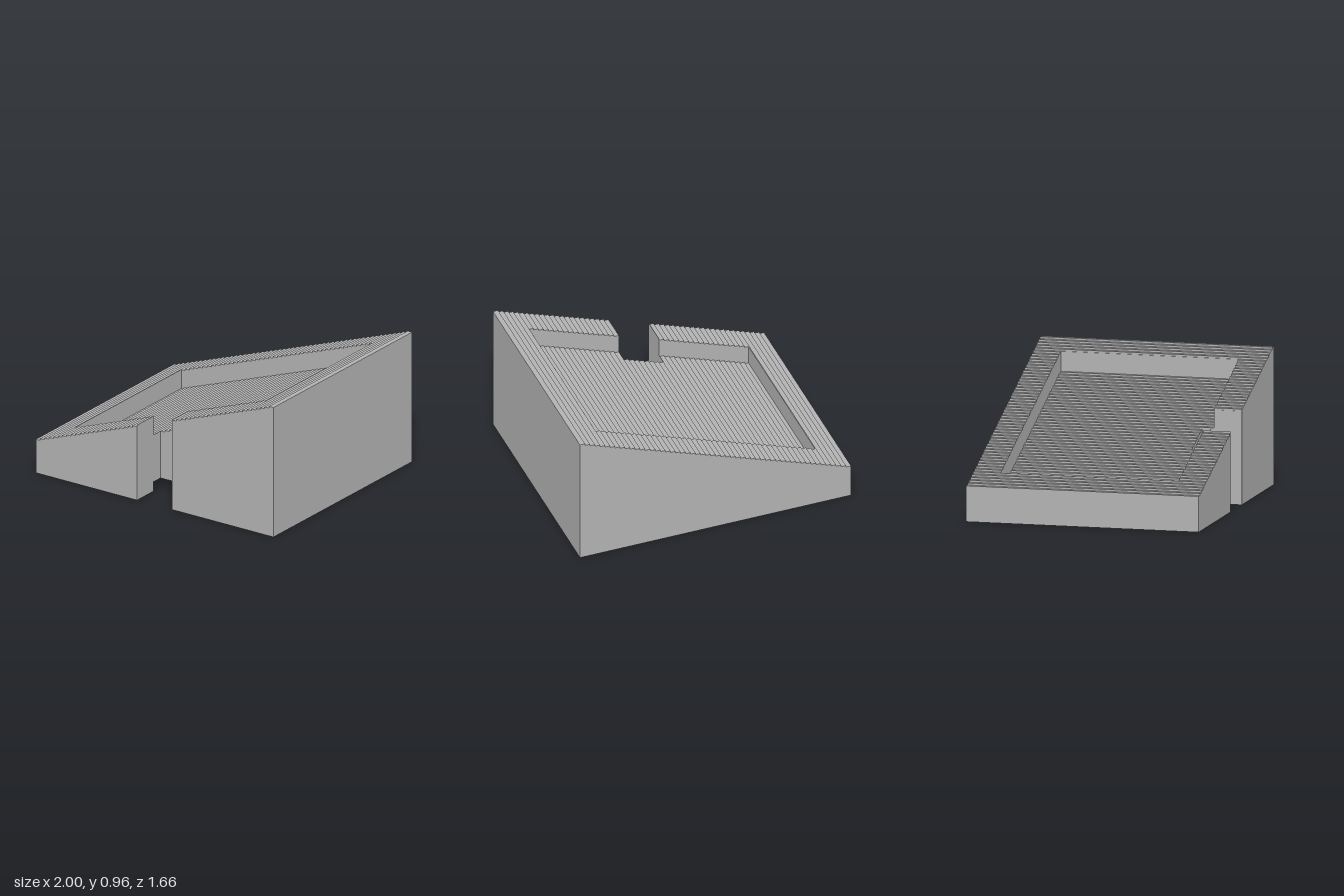
import * as THREE from 'three';

const STEPS = 54, LOW = 0.25, HIGH = 0.965;      // stepped slope rising toward +x
const HALF_X = 1, HALF_Z = 0.828;
const TRAY = { x: 0.808, z0: -0.636, z1: 0.63, top: 0.14, under: 0.07 };
const NOTCH = { x0: -0.148, x1: 0.146, z0: 0.547 };

// Vertical extent of the solid at a point, or null where it is empty
function column(x, z) {
  if (Math.abs(x) > HALF_X || Math.abs(z) > HALF_Z) return null;
  if (x > NOTCH.x0 && x < NOTCH.x1 && z > NOTCH.z0) return null;
  const step = Math.floor((x + HALF_X) / (2 * HALF_X) * STEPS);
  const top = LOW + (HIGH - LOW) * step / (STEPS - 1);
  const inTray = Math.abs(x) < TRAY.x && z > TRAY.z0 && z < TRAY.z1;
  return inTray
    ? { part: 'trayFloor', bottom: TRAY.under, top: top - TRAY.top }
    : { part: 'wedgeFrame', bottom: 0, top };
}

export function createModel() {
  const group = new THREE.Group();
  group.name = 'steppedWedgeStand';
  const grey = new THREE.MeshStandardMaterial({ color: 0xb2b2b2 });
  grey.name = 'grey';

  // Cell borders: every step edge plus the tray and notch edges
  const xs = Array.from({ length: STEPS + 1 }, (_, i) => -HALF_X + 2 * HALF_X * i / STEPS);
  xs.push(-TRAY.x, TRAY.x, NOTCH.x0, NOTCH.x1);
  xs.sort((a, b) => a - b);
  const zs = [-HALF_Z, TRAY.z0, NOTCH.z0, TRAY.z1, HALF_Z];

  const parts = { wedgeFrame: [], trayFloor: [] };
  const quad = (out, a, b, c, d) => out.push(...a, ...b, ...c, ...a, ...c, ...d);

  for (let i = 0; i < xs.length - 1; i++) {
    for (let j = 0; j < zs.length - 1; j++) {
      const [x0, x1, z0, z1] = [xs[i], xs[i + 1], zs[j], zs[j + 1]];
      const cx = (x0 + x1) / 2, cz = (z0 + z1) / 2;
      const cell = column(cx, cz);
      if (!cell) continue;
      const out = parts[cell.part];
      const { bottom, top } = cell;

      // Tread and underside
      quad(out, [x0, top, z1], [x1, top, z1], [x1, top, z0], [x0, top, z0]);
      quad(out, [x0, bottom, z0], [x1, bottom, z0], [x1, bottom, z1], [x0, bottom, z1]);

      // Walls, only where the neighbouring cell leaves them exposed
      const sides = [
        { next: [i + 1, j], a: [x1, z1], b: [x1, z0] },
        { next: [i - 1, j], a: [x0, z0], b: [x0, z1] },
        { next: [i, j + 1], a: [x0, z1], b: [x1, z1] },
        { next: [i, j - 1], a: [x1, z0], b: [x0, z0] },
      ];
      for (const { next: [ni, nj], a, b } of sides) {
        const inside = ni >= 0 && nj >= 0 && ni < xs.length - 1 && nj < zs.length - 1;
        const other = inside
          ? column((xs[ni] + xs[ni + 1]) / 2, (zs[nj] + zs[nj + 1]) / 2) : null;
        const spans = other
          ? [[Math.max(bottom, other.top), top], [bottom, Math.min(top, other.bottom)]]
          : [[bottom, top]];
        for (const [lo, hi] of spans) {
          if (hi - lo < 1e-6) continue;
          quad(out, [a[0], lo, a[1]], [b[0], lo, b[1]], [b[0], hi, b[1]], [a[0], hi, a[1]]);
        }
      }
    }
  }

  for (const [name, points] of Object.entries(parts)) {
    const geometry = new THREE.BufferGeometry();
    geometry.setAttribute('position', new THREE.Float32BufferAttribute(points, 3));
    geometry.computeVertexNormals();
    const mesh = new THREE.Mesh(geometry, grey);
    mesh.name = name;
    group.add(mesh);
  }
  return group;
}
